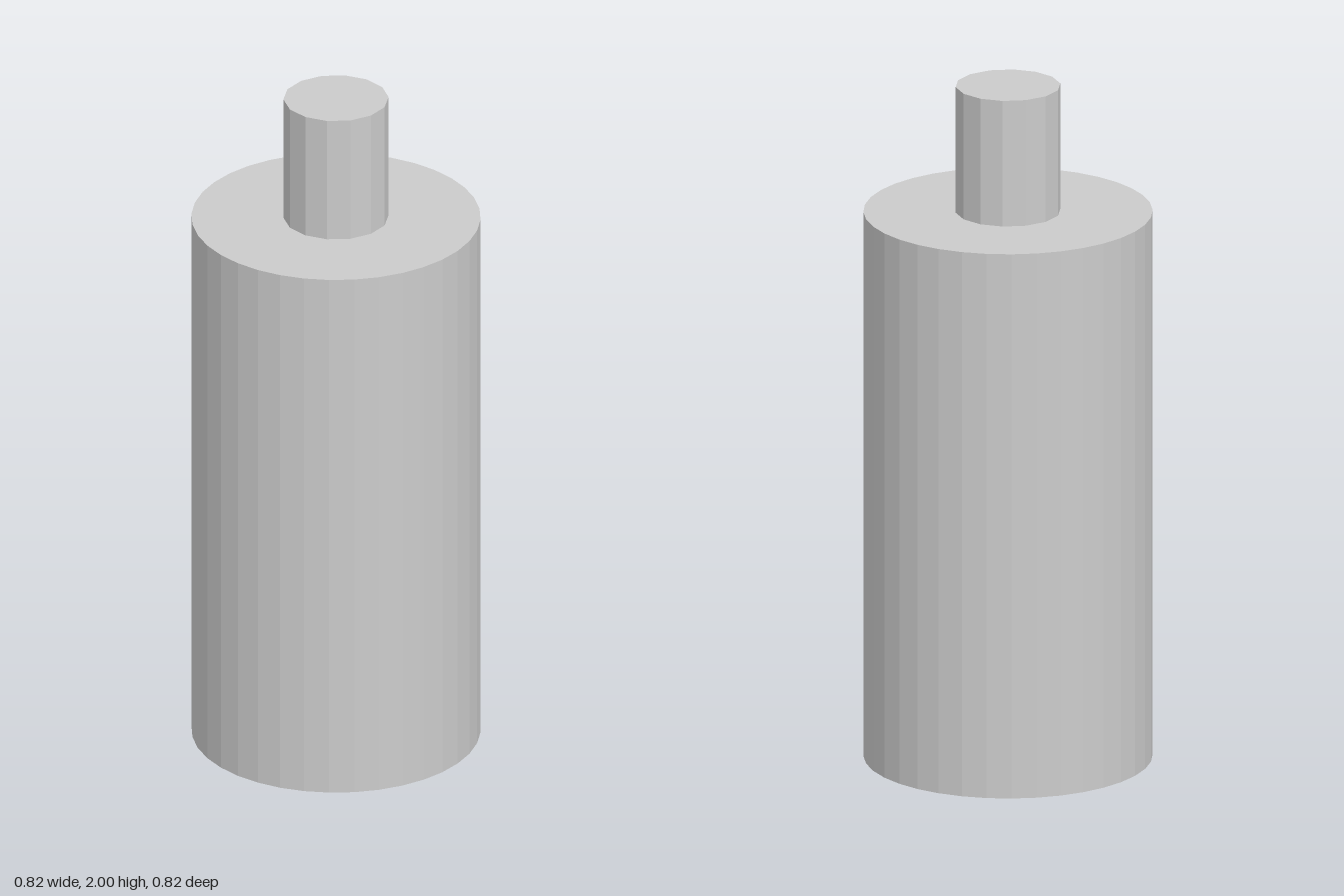
import * as THREE from 'three';

const material = new THREE.MeshStandardMaterial({ color: 0xcccccc, flatShading: true });

// Upright faceted cylinder between two heights, with a corner on the x axis
function post(name, radius, bottom, top, sides) {
  const geometry = new THREE.CylinderGeometry(radius, radius, top - bottom, sides, 1, false, Math.PI / 2);
  geometry.translate(0, (bottom + top) / 2, 0);
  const mesh = new THREE.Mesh(geometry, material);
  mesh.name = name;
  return mesh;
}

export function createModel() {
  const model = new THREE.Group();
  model.name = 'steppedPin';
  model.add(
    post('body', 0.412, 0, 1.625, 36), // wide main cylinder
    post('stem', 0.15, 1.625, 2, 14) // narrow stem on top
  );
  return model;
}
